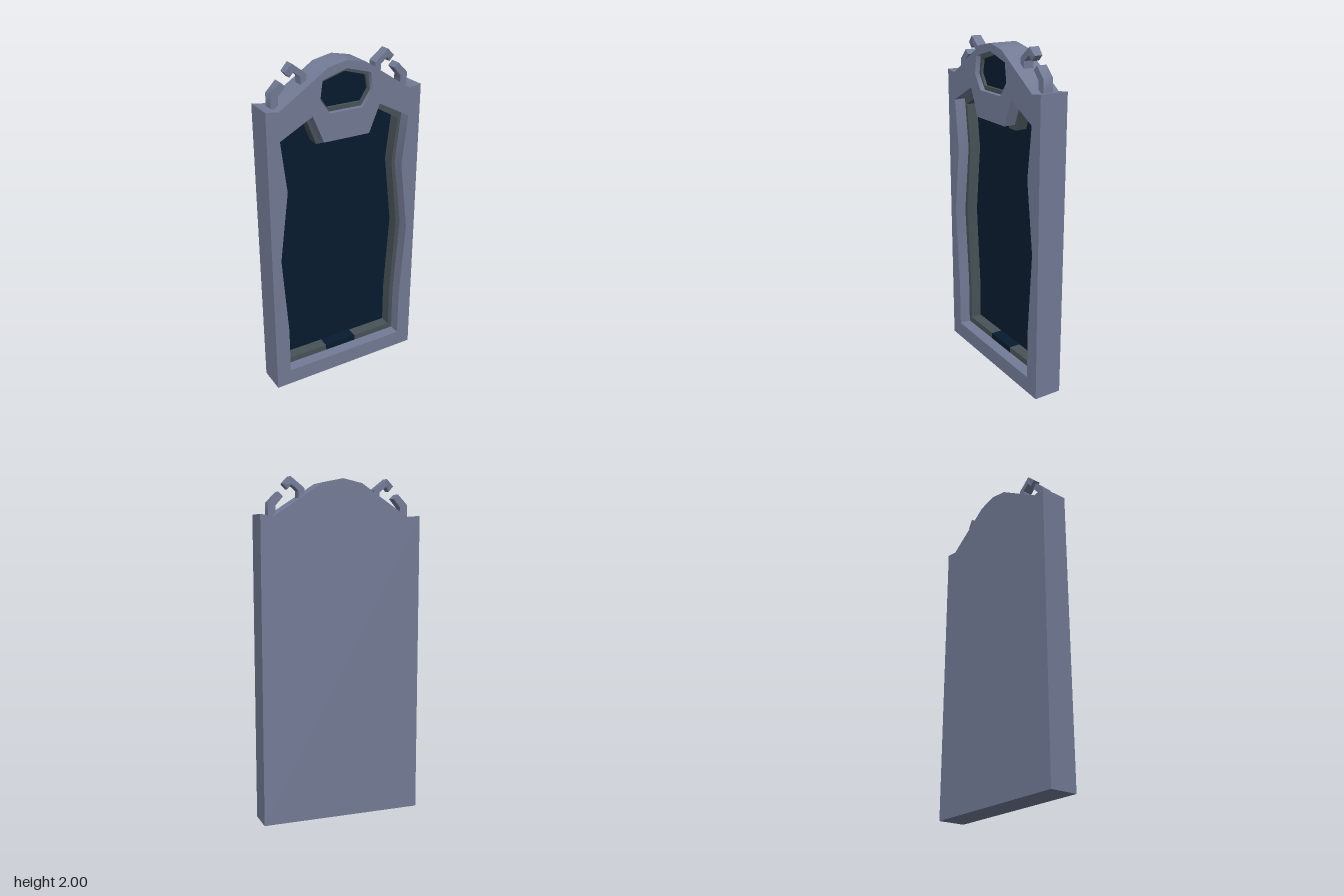
import * as THREE from 'three';
import { toCreasedNormals } from 'three/addons/utils/BufferGeometryUtils.js';

const material = (name, color) => {
  const m = new THREE.MeshStandardMaterial({ color });
  m.name = name;
  return m;
};

// Mirrors a left-half outline (bottom to top) into a closed, counter-clockwise one
function mirrored(half) {
  const other = half.filter(([x]) => x !== 0).map(([x, y]) => [-x, y]).reverse();
  return [...half, ...other].reverse().map(([x, y]) => new THREE.Vector2(x, y));
}

// Flat plate between two z values, with optional holes and softly shaded bends
function plate(name, outline, z0, z1, mat, holes = []) {
  const shape = new THREE.Shape(outline);
  shape.holes = holes.map((h) => new THREE.Path(h));
  const geo = new THREE.ExtrudeGeometry(shape, { depth: z1 - z0, bevelEnabled: false });
  geo.translate(0, 0, z0);
  const mesh = new THREE.Mesh(toCreasedNormals(geo, 0.82), mat);
  mesh.name = name;
  return mesh;
}

export function createModel() {
  const stone = material('slate frame', 0x737b96);
  const trim = material('grey trim', 0x475257);
  const glass = material('dark blue glass', 0x071b2f);
  const group = new THREE.Group();
  group.name = 'archedMirror';

  const body = mirrored([[-0.487, 0], [-0.487, 1.787], [-0.41, 1.776],
    [-0.217, 1.902], [-0.116, 1.968], [0, 1.992]]);
  const opening = mirrored([[-0.396, 0.1], [-0.396, 0.4], [-0.43, 0.89], [-0.375, 1.31],
    [-0.41, 1.612], [-0.212, 1.717], [-0.145, 1.556]]);
  const paneEdge = mirrored([[-0.368, 0.137], [-0.368, 0.4], [-0.4, 0.89], [-0.352, 1.31],
    [-0.385, 1.58], [-0.216, 1.678], [-0.156, 1.526]]);
  const crestOpening = mirrored([[-0.105, 1.716], [-0.165, 1.8], [-0.15, 1.905], [0, 1.948]]);
  const crestPane = mirrored([[-0.108, 1.74], [-0.152, 1.808], [-0.134, 1.887], [0, 1.927]]);

  // Frame and closed back
  group.add(plate('frame', body, -0.06, 0.085, stone, [opening, crestOpening]));
  group.add(plate('back', body, -0.085, -0.06, stone));

  // Large recessed pane with stepped trim and two clasps
  group.add(plate('paneTrim', opening, -0.06, 0.015, trim, [paneEdge]));
  group.add(plate('pane', paneEdge, -0.06, -0.054, glass));
  for (const [name, w, y] of [['lowerClasp', 0.21, 0.12], ['upperClasp', 0.17, 1.54]]) {
    const clasp = new THREE.Mesh(new THREE.BoxGeometry(w, 0.037, 0.077), glass);
    clasp.name = name;
    clasp.position.set(0, y, -0.0215);
    group.add(clasp);
  }

  // Small crest window
  group.add(plate('crestTrim', crestOpening, 0.03, 0.055, trim, [crestPane]));
  group.add(plate('crestPane', crestPane, 0.03, 0.038, glass));

  // Broken hook ornaments on both shoulders
  const lowerHook = [[0.428, 1.765], [0.428, 1.852], [0.368, 1.913], [0.34, 1.887],
    [0.384, 1.836], [0.384, 1.765]];
  const upperHook = [[0.34, 1.958], [0.296, 2], [0.214, 1.936], [0.214, 1.885],
    [0.25, 1.868], [0.25, 1.921], [0.291, 1.955], [0.311, 1.927]];
  for (const [label, s] of [['left', 1], ['right', -1]]) {
    const points = (list) => list.map(([x, y]) => new THREE.Vector2(s * x, y));
    group.add(plate(label + 'LowerHook', points(lowerHook), -0.033, 0.028, stone));
    const upper = plate(label + 'UpperHook', points(upperHook), -0.033, 0.028, stone);
    // Narrow the broken tip
    const pos = upper.geometry.attributes.position;
    for (let i = 0; i < pos.count; i++) {
      if (Math.abs(pos.getX(i)) > 0.3) pos.setZ(i, pos.getZ(i) * 0.75);
    }
    upper.geometry.computeVertexNormals();
    group.add(upper);
  }
  return group;
}
